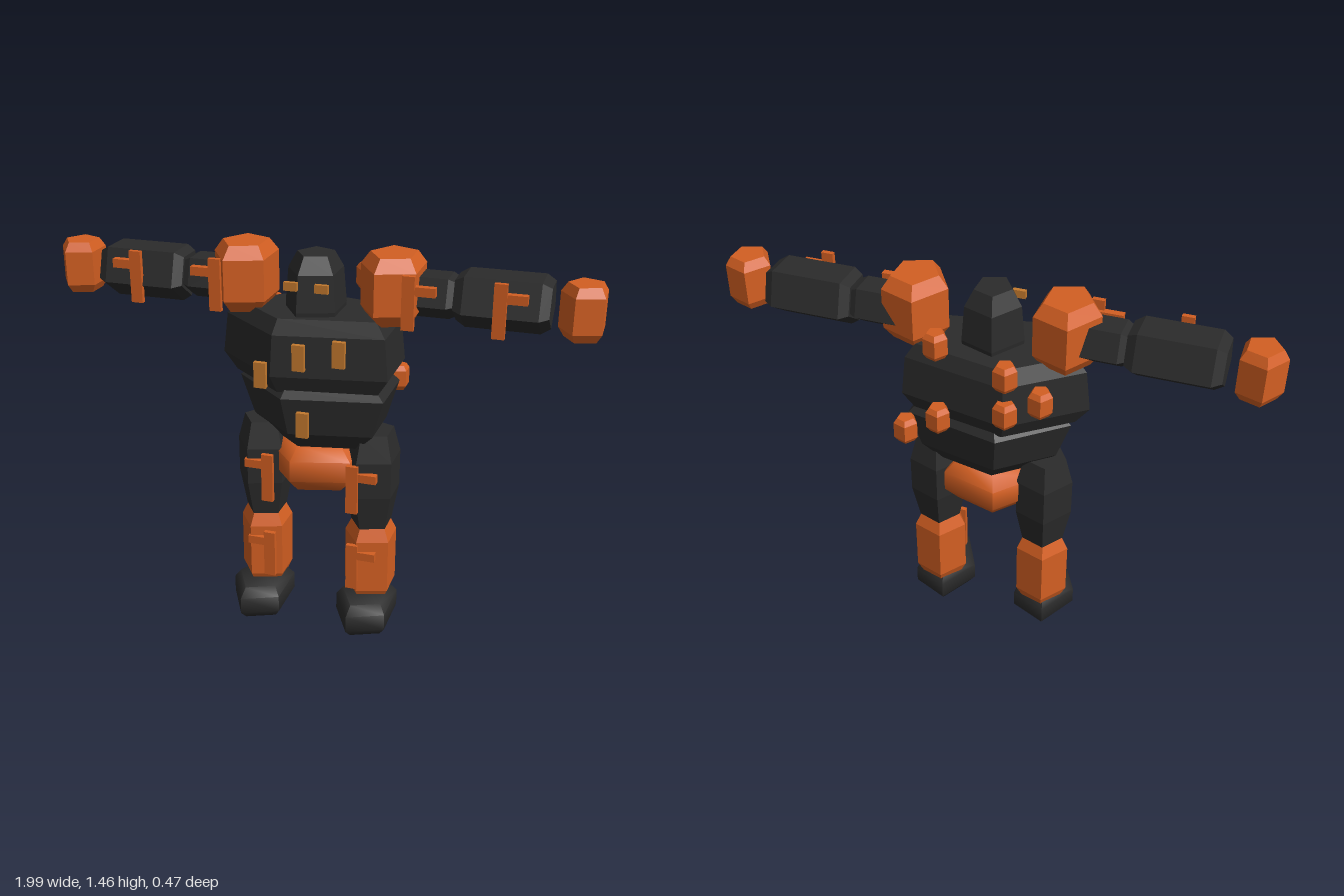
import * as THREE from 'three';
import { toCreasedNormals } from 'three/addons/utils/BufferGeometryUtils.js';

const paint = (name, color) => {
  const m = new THREE.MeshStandardMaterial({ color });
  m.name = name;
  return m;
};

export function createModel() {
  const model = new THREE.Group();
  model.name = 'robot';
  const dark = paint('charcoal', 0x2b2b2b);
  const orange = paint('orange', 0xd35f22);
  const amber = paint('amber', 0xc47a2e);

  const add = (name, geometry, material, x, y, z) => {
    const mesh = new THREE.Mesh(geometry, material);
    mesh.name = name;
    mesh.position.set(x, y, z);
    model.add(mesh);
    return mesh;
  };

  // Five-sided barrel with one corner towards -x; rings are [height, scale]
  const barrel = (rings, rx, rz, soft = false) => {
    const pts = [[rings[0][0], 0], ...rings, [rings[rings.length - 1][0], 0]];
    const g = new THREE.LatheGeometry(pts.map(([h, s]) => new THREE.Vector2(s, h)), 5, -Math.PI / 2);
    g.scale(rx, 1, rz);
    g.deleteAttribute('normal');
    g.deleteAttribute('uv');
    return toCreasedNormals(g, soft ? 1.1 : 0.05);
  };

  // Thin plate given by its extents
  const plate = (name, material, x0, x1, y0, y1, z0, z1) =>
    add(name, new THREE.BoxGeometry(x1 - x0, y1 - y0, z1 - z0), material,
      (x0 + x1) / 2, (y0 + y1) / 2, (z0 + z1) / 2);

  // Trunk
  add('chest', barrel([[0.965, 0.86], [1.03, 1], [1.18, 0.95], [1.235, 0.83]], 0.363, 0.212), dark, 0, 0, 0);
  add('abdomen', barrel([[0.735, 0.6], [0.8, 0.84], [0.945, 1], [0.975, 0.9]], 0.319, 0.2), dark, 0.02, 0, 0);
  add('pelvis', barrel([[0.555, 0.72], [0.605, 1], [0.685, 1], [0.735, 0.72]], 0.19, 0.162, true), orange, 0, 0, 0);
  add('head', barrel([[1.2, 0.95], [1.25, 1], [1.38, 0.9], [1.44, 0.6]], 0.113, 0.125), dark, 0, 0, 0.02);

  // Eyes and body lights
  plate('rightEye', amber, -0.073, -0.025, 1.335, 1.365, 0.144, 0.16);
  plate('leftEye', amber, 0.038, 0.086, 1.335, 1.365, 0.144, 0.16);
  for (const [x, y, z] of [[-0.137, 1.045, 0.228], [0.003, 1.123, 0.228], [0.147, 1.15, 0.228], [0.003, 0.856, 0.189]])
    plate('bodyLight', amber, x - 0.022, x + 0.022, y - 0.047, y + 0.047, z - 0.009, z + 0.009);

  // Round vents climbing up the back
  [0.255, 0.13, -0.115, -0.24, -0.115, 0.13].forEach((x, i) => {
    const y = i === 0 ? 0.932 : [1.007, 1.082, 1.157, 1.232, 1.307][i - 1];
    const px = [0.255, 0.13, -0.115, -0.24, -0.115, 0.13][i];
    add('backVent', barrel([[-0.048, 0.7], [-0.03, 1], [0.03, 1], [0.048, 0.7]], 0.044, 0.045), orange, px, y, -0.192);
  });

  for (const s of [-1, 1]) {
    const side = s > 0 ? 'left' : 'right';
    const shift = s > 0 ? 0.007 : 0;

    // Arm held straight out
    add(side + 'Shoulder', barrel([[-0.12, 0.72], [-0.075, 1], [0.075, 1], [0.12, 0.72]], 0.119, 0.137), orange,
      s * 0.268 + shift, 1.335, 0);
    const limb = (name, length, rings, r, x) => {
      const g = barrel(rings.map(([t, k]) => [t * length, k]), r, r);
      g.rotateZ(Math.PI / 2);
      add(side + name, g, dark, s * x + shift, 1.317, s > 0 ? -0.02 : 0);
    };
    limb('UpperArm', 0.25, [[-0.5, 0.75], [-0.35, 1], [0.35, 1], [0.5, 0.75]], 0.086, 0.375);
    limb('Forearm', 0.325, [[-0.5, 0.8], [-0.4, 1], [0.4, 1], [0.5, 0.8]], 0.108, 0.648);
    add(side + 'Fist', barrel([[-0.094, 0.75], [-0.062, 1], [0.062, 1], [0.094, 0.75]], 0.083, 0.091), orange,
      s * 0.917 + shift, 1.313, 0);

    // Leg
    const legX = s * 0.207 + shift;
    add(side + 'Thigh', barrel([[0.41, 0.74], [0.55, 1], [0.69, 1], [0.79, 0.74]], 0.108, 0.115), dark, legX, 0, 0);
    add(side + 'Shin', barrel([[0.105, 0.78], [0.15, 1], [0.36, 1], [0.41, 0.76]], 0.102, 0.104), orange, legX, 0, 0);
    add(side + 'Foot', barrel([[0, 0.78], [0.034, 1], [0.098, 1], [0.132, 0.78]], 0.12, 0.163, true), dark, legX, 0, 0.055);

    // Armour brackets: an upright bar with a short arm pointing outwards
    const bracket = (name, x, outer, y0, y1, armY, z) => {
      const bar = (part, a, b, lo, hi, zc, d) =>
        plate(side + name + part, orange, Math.min(s * a, s * b) + shift, Math.max(s * a, s * b) + shift, lo, hi, zc - d, zc + d);
      bar('Bar', x - 0.022, x + 0.022, y0, y1, z, 0.009);
      bar('Arm', x, outer, armY - 0.016, armY + 0.016, z - 0.009, 0.013);
    };
    bracket('UpperArmBracket', 0.345, 0.437, 1.22, 1.41, 1.358, 0.107);
    bracket('ForearmBracket', 0.652, 0.742, 1.22, 1.41, 1.358, 0.1);
    bracket('ThighBracket', 0.16, 0.25, 0.493, 0.683, 0.638, 0.113);
    bracket('ShinBracket', 0.16, 0.247, 0.165, 0.35, 0.306, 0.1);
  }
  return model;
}
